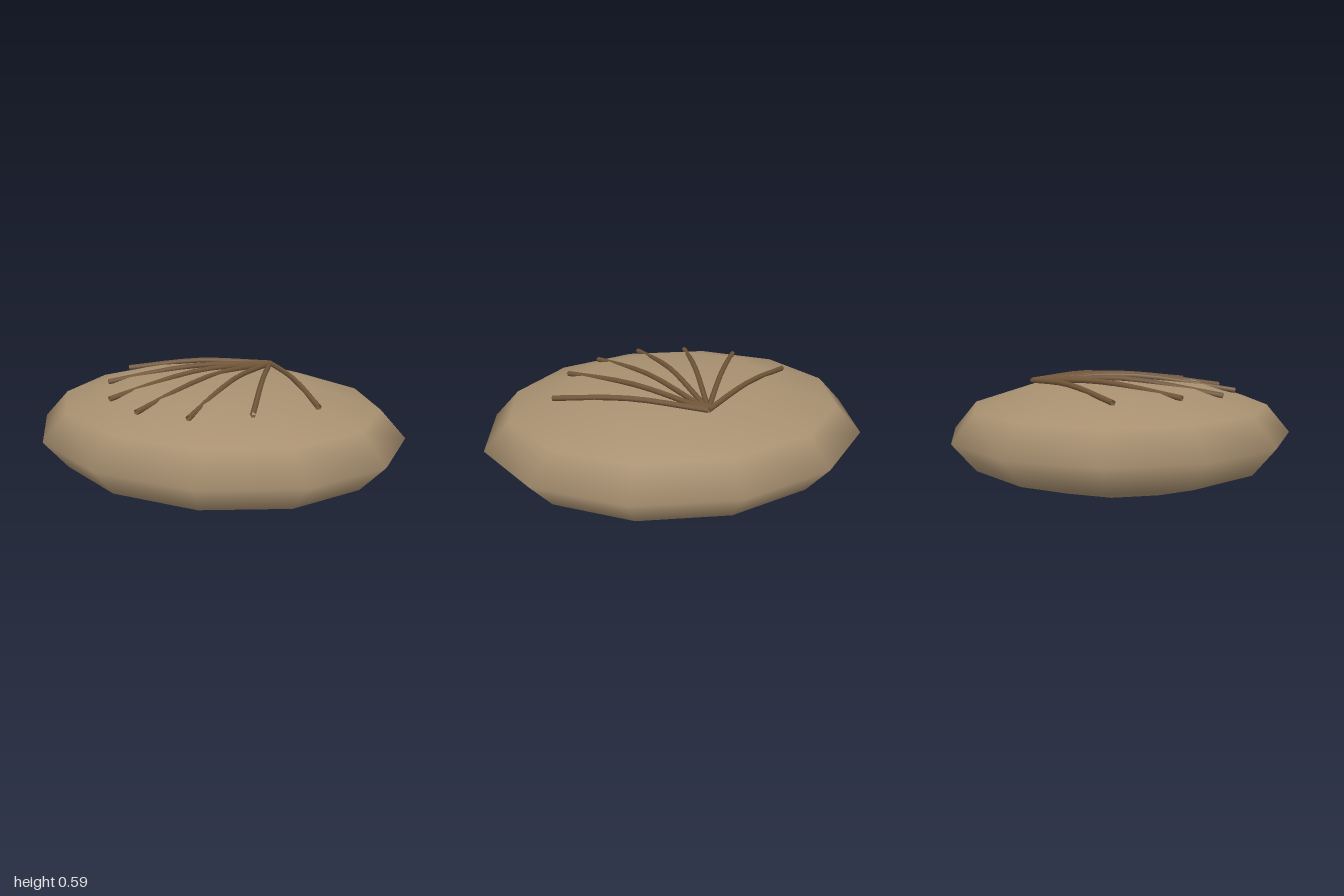
import * as THREE from 'three';

export function createModel() {
  const group = new THREE.Group();
  const shellMaterial = new THREE.MeshStandardMaterial({ color: 0xa89070 });
  shellMaterial.name = 'sandy tan';
  const ridgeMaterial = new THREE.MeshStandardMaterial({ color: 0x74583a, side: THREE.DoubleSide });
  ridgeMaterial.name = 'dark brown';

  // Flattened, twelve-sided shell
  const shell = new THREE.Mesh(new THREE.SphereGeometry(1, 12, 6).scale(1, 0.286, 0.89), shellMaterial);
  shell.name = 'shell';
  shell.position.y = 0.288;
  group.add(shell);

  // Thin ridge arching over the shell from the shared apex to (x, y, z)
  const apex = new THREE.Vector3(0, 0.548, -0.465);
  function addRidge(x, y, z, midY) {
    const end = new THREE.Vector3(x, y, z);
    const middle = apex.clone().lerp(end, 0.5).setY(midY);
    const curve = new THREE.CatmullRomCurve3([apex, middle, end]);
    const ridge = new THREE.Mesh(new THREE.TubeGeometry(curve, 8, 0.0145, 5), ridgeMaterial);
    ridge.name = 'ridge';
    group.add(ridge);
  }

  // Fan of seven ridges, mirrored left and right
  addRidge(0, 0.503, 0.605, 0.576);
  for (const side of [-1, 1]) {
    addRidge(side * 0.26, 0.506, 0.53, 0.573);
    addRidge(side * 0.48, 0.518, 0.33, 0.567);
    addRidge(side * 0.637, 0.514, 0.02, 0.56);
  }
  return group;
}
